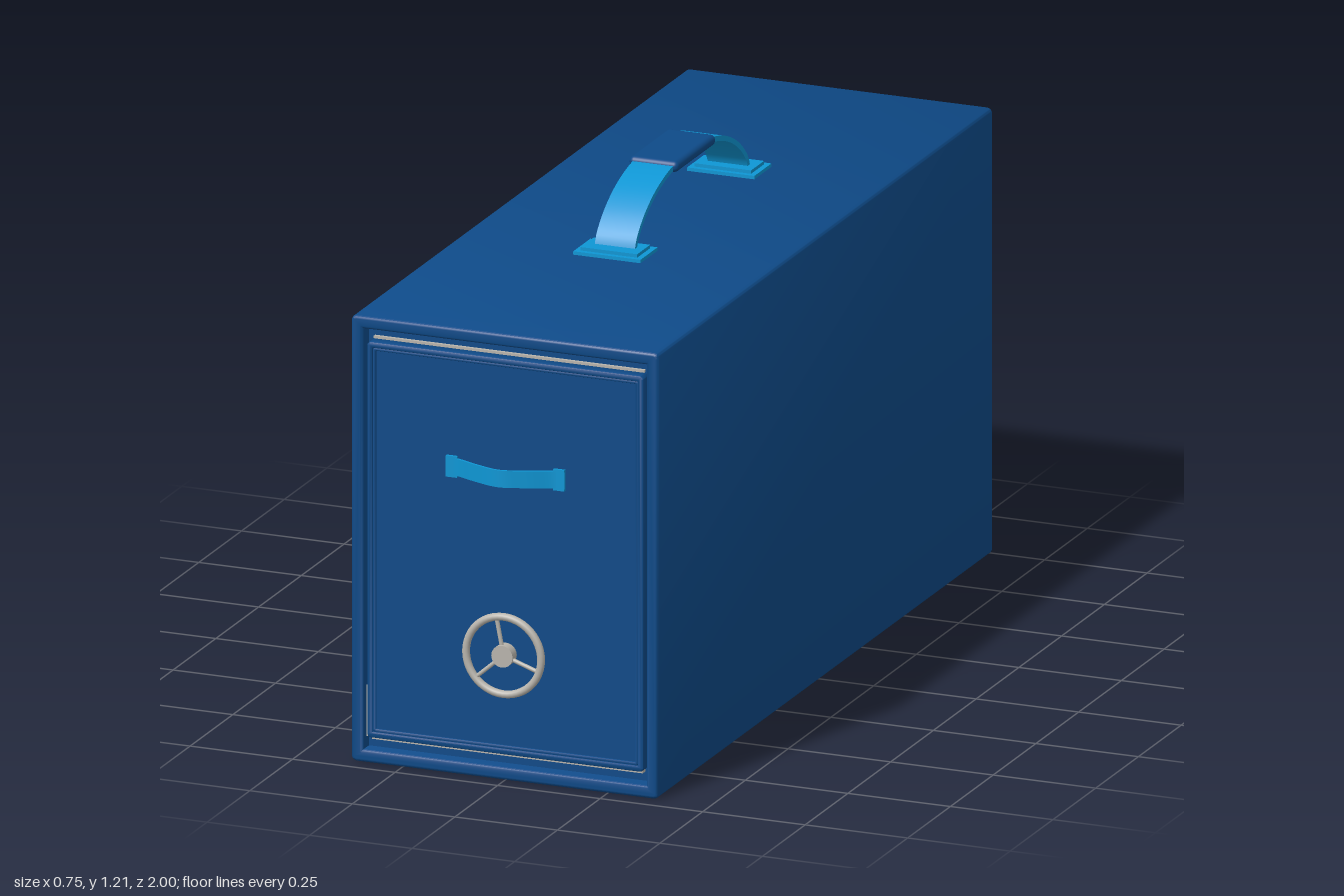
import * as THREE from 'three';
import { toCreasedNormals } from 'three/addons/utils/BufferGeometryUtils.js';
import { RoundedBoxGeometry } from 'three/addons/geometries/RoundedBoxGeometry.js';

const material = (name, color) => {
  const m = new THREE.MeshStandardMaterial({ color });
  m.name = name;
  return m;
};

// Rounded rectangle centred on the origin
function roundedRect(path, w, h, r) {
  const x = w / 2, y = h / 2;
  path.moveTo(-x + r, -y);
  path.lineTo(x - r, -y);
  path.absarc(x - r, -y + r, r, -Math.PI / 2, 0);
  path.lineTo(x, y - r);
  path.absarc(x - r, y - r, r, 0, Math.PI / 2);
  path.lineTo(-x + r, y);
  path.absarc(-x + r, y - r, r, Math.PI / 2, Math.PI);
  path.lineTo(-x, -y + r);
  path.absarc(-x + r, -y + r, r, Math.PI, Math.PI * 1.5);
  return path;
}

// Bevelled rectangular ring from z0 to z1, sizes including the bevel
function ringGeometry(w, h, wall, z0, z1, bevel) {
  const shape = roundedRect(new THREE.Shape(), w - 2 * bevel, h - 2 * bevel, 0.006);
  const inset = 2 * (wall - bevel);
  shape.holes.push(roundedRect(new THREE.Path(), w - inset, h - inset, 0.004));
  const geo = new THREE.ExtrudeGeometry(shape, {
    depth: z1 - z0 - 2 * bevel, bevelEnabled: true, bevelSize: bevel,
    bevelThickness: bevel, bevelSegments: 4, curveSegments: 4,
  });
  geo.translate(0, 0, z0 + bevel);
  return toCreasedNormals(geo, 0.6);
}

// Strip of constant thickness along a 2D curve, extruded to a width
function strapGeometry(curve, thickness, width, steps) {
  const outer = [], inner = [];
  for (let i = 0; i <= steps; i++) {
    const p = curve.getPoint(i / steps), t = curve.getTangent(i / steps);
    const n = new THREE.Vector2(-t.y, t.x).multiplyScalar(thickness / 2);
    outer.push(p.clone().add(n));
    inner.push(p.clone().sub(n));
  }
  const shape = new THREE.Shape([...outer, ...inner.reverse()]);
  const geo = new THREE.ExtrudeGeometry(shape, { depth: width, bevelEnabled: false });
  geo.translate(0, 0, -width / 2);
  return toCreasedNormals(geo, 0.6);
}

export function createModel() {
  const blue = material('deep blue paint', 0x0e4a88);
  const bright = material('bright blue', 0x0e96d4);
  const silver = material('silver metal', 0xb8b4ac);

  const model = new THREE.Group();
  model.name = 'carryCase';
  const add = (parent, name, geo, mat, x = 0, y = 0, z = 0) => {
    const mesh = new THREE.Mesh(geo, mat);
    mesh.name = name;
    mesh.position.set(x, y, z);
    parent.add(mesh);
    return mesh;
  };
  const box = (w, h, d) => new THREE.BoxGeometry(w, h, d);
  const midY = 0.5275;

  // Case: bevelled sleeve closed at the back and behind the door
  add(model, 'caseShell', ringGeometry(0.75, 1.055, 0.03, -1, 0.96, 0.008), blue, 0, midY);
  add(model, 'caseCore', box(0.706, 1.011, 1.925), blue, 0, midY, -0.0375);

  // Door with a raised double rim
  const door = new THREE.Group();
  door.name = 'door';
  model.add(door);
  add(door, 'doorPanel', box(0.65, 0.91, 0.025), blue, 0, midY, 0.9375);
  add(door, 'doorOuterRim', ringGeometry(0.674, 0.936, 0.014, 0.925, 0.957, 0.004), blue, 0, midY);
  add(door, 'doorInnerRim', ringGeometry(0.65, 0.912, 0.009, 0.935, 0.954, 0.003), blue, 0, midY);

  // Silver liner edges showing in the gap around the door
  add(model, 'linerBottom', box(0.66, 0.007, 0.018), silver, 0, 0.056, 0.934);
  add(model, 'linerTop', box(0.66, 0.006, 0.008), silver, 0, 1.0, 0.929);
  for (const s of [-1, 1]) add(model, 'linerSide', box(0.004, 0.12, 0.018), silver, s * 0.342, 0.118, 0.934);

  // Bowed pull strip on the door
  const pullCurve = new THREE.SplineCurve([
    [-0.145, 0.954], [-0.115, 0.956], [-0.06, 0.979], [0, 0.996],
    [0.06, 0.979], [0.115, 0.956], [0.145, 0.954],
  ].map(([x, z]) => new THREE.Vector2(x, z)));
  const pull = strapGeometry(pullCurve, 0.006, 0.04, 32);
  pull.rotateX(Math.PI / 2);
  add(door, 'doorPull', pull, bright, 0, 0.725);
  for (const s of [-1, 1]) add(door, 'doorPullEnd', box(0.027, 0.05, 0.008), bright, s * 0.131, 0.725, 0.953);

  // Three-spoke hand wheel
  const wheel = new THREE.Group();
  wheel.name = 'handWheel';
  wheel.position.set(0, 0.297, 0.965);
  door.add(wheel);
  add(wheel, 'wheelRim', new THREE.TorusGeometry(0.0915, 0.009, 12, 48), silver);
  const hub = new THREE.CylinderGeometry(0.026, 0.026, 0.026, 24);
  hub.rotateX(Math.PI / 2);
  add(wheel, 'wheelHub', hub, silver, 0, 0, -0.003);
  for (let i = 0; i < 3; i++) {
    const spoke = new THREE.CylinderGeometry(0.005, 0.005, 0.09, 10);
    spoke.translate(0, 0.045, 0);
    add(wheel, 'wheelSpoke', spoke, silver).rotation.z = THREE.MathUtils.degToRad(11 + i * 120);
  }

  // Carrying handle: arched strap, padded grip and stepped feet
  const handle = new THREE.Group();
  handle.name = 'carryHandle';
  handle.position.z = -0.022;
  model.add(handle);
  const archCurve = new THREE.SplineCurve([
    [-0.334, 1.058], [-0.318, 1.093], [-0.27, 1.136], [-0.2, 1.172], [-0.11, 1.195], [0, 1.198],
    [0.11, 1.195], [0.2, 1.172], [0.27, 1.136], [0.318, 1.093], [0.334, 1.058],
  ].map(([z, y]) => new THREE.Vector2(z, y)));
  const arch = strapGeometry(archCurve, 0.012, 0.098, 48);
  arch.rotateY(-Math.PI / 2);
  add(handle, 'handleStrap', arch, bright);
  add(handle, 'handleGrip', new RoundedBoxGeometry(0.12, 0.026, 0.23, 4, 0.012), blue, 0, 1.197);
  for (const s of [-1, 1]) {
    add(handle, 'handleFootBase', box(0.164, 0.01, 0.1), bright, 0, 1.058, s * 0.333);
    add(handle, 'handleFootStep', box(0.138, 0.01, 0.076), bright, 0, 1.066, s * 0.333);
  }

  return model;
}
